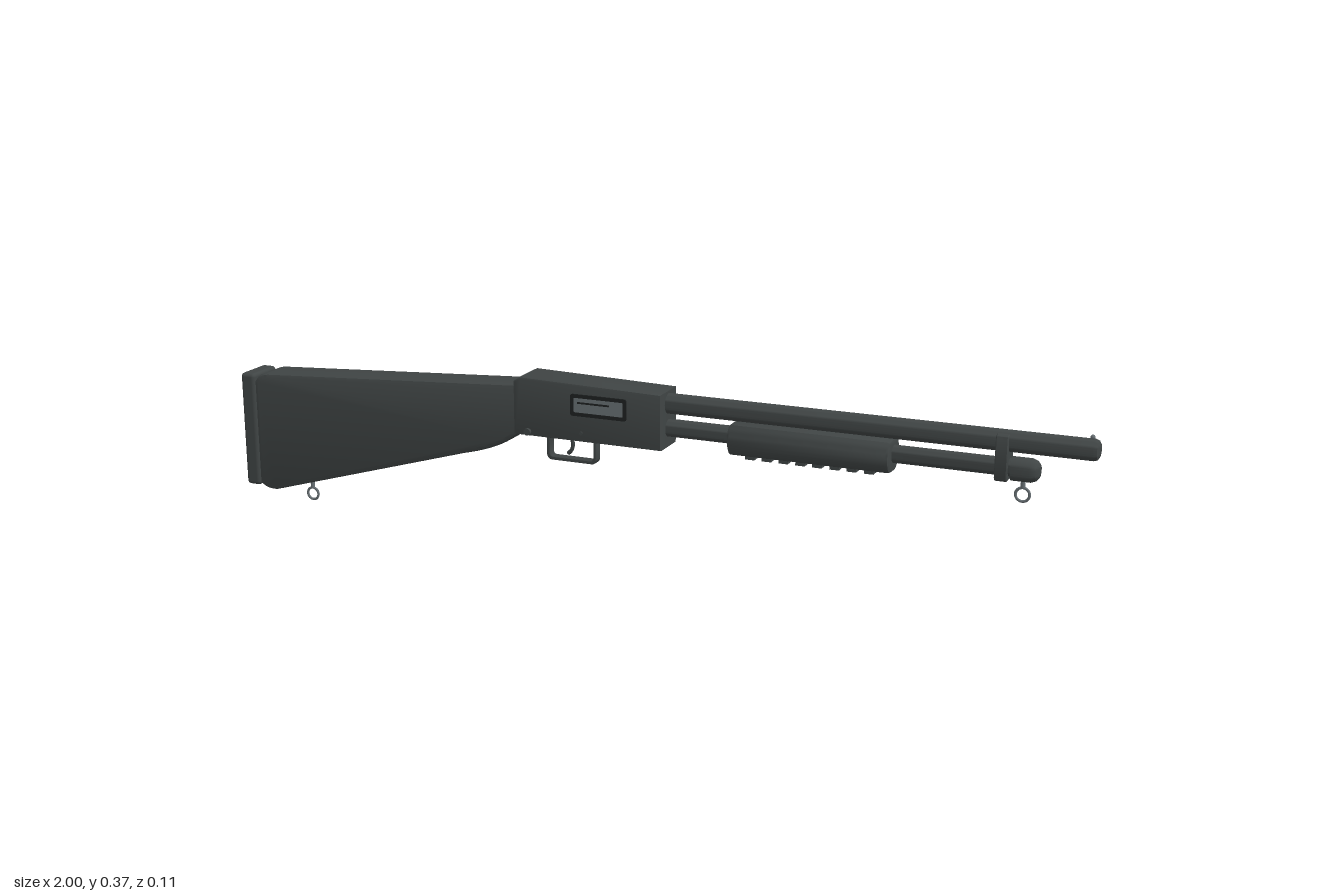
import * as THREE from 'three';
import { toCreasedNormals } from 'three/addons/utils/BufferGeometryUtils.js';
import { RoundedBoxGeometry } from 'three/addons/geometries/RoundedBoxGeometry.js';

const mat = (name, color) => {
  const m = new THREE.MeshStandardMaterial({ color });
  m.name = name;
  return m;
};

export function createModel() {
  const body = mat('charcoal', 0x404545);
  const steel = mat('steel', 0x697175);
  const dark = mat('shadow black', 0x1e2121);
  const group = new THREE.Group();

  const add = (name, geo, material, x = 0, y = 0, z = 0) => {
    const mesh = new THREE.Mesh(geo, material);
    mesh.name = name;
    mesh.position.set(x, y, z);
    group.add(mesh);
    return mesh;
  };

  // Extrudes a shape to a total width, centred, with inset bevels
  const slab = (shape, width, bevel = 0, segments = 2) => {
    const geo = new THREE.ExtrudeGeometry(shape, {
      depth: width - 2 * bevel, bevelEnabled: bevel > 0, bevelSize: bevel,
      bevelThickness: bevel, bevelOffset: -bevel, bevelSegments: segments, curveSegments: 12,
    });
    geo.translate(0, 0, -(width - 2 * bevel) / 2);
    return toCreasedNormals(geo, 0.6);
  };

  // Revolves [x, radius] points around the x axis
  const turned = (points) => {
    const geo = new THREE.LatheGeometry(points.map(([x, r]) => new THREE.Vector2(r, x)), 32);
    geo.rotateZ(-Math.PI / 2);
    return toCreasedNormals(geo, 0.6);
  };

  const polygon = (pts) => new THREE.Shape(pts.map(([x, y]) => new THREE.Vector2(x, y)));

  const roundRect = (x0, y0, x1, y1, r, Type = THREE.Shape) => {
    const s = new Type();
    s.moveTo(x0 + r, y0);
    s.lineTo(x1 - r, y0);
    s.quadraticCurveTo(x1, y0, x1, y0 + r);
    s.lineTo(x1, y1 - r);
    s.quadraticCurveTo(x1, y1, x1 - r, y1);
    s.lineTo(x0 + r, y1);
    s.quadraticCurveTo(x0, y1, x0, y1 - r);
    s.lineTo(x0, y0 + r);
    s.quadraticCurveTo(x0, y0, x0 + r, y0);
    return s;
  };

  // Shoulder stock with a curved grip underneath
  const stock = new THREE.Shape();
  stock.moveTo(-0.967, 0.045);
  stock.quadraticCurveTo(-0.95, 0.023, -0.92, 0.029);
  stock.lineTo(-0.41, 0.178);
  stock.quadraticCurveTo(-0.315, 0.2, -0.27, 0.24);
  stock.lineTo(-0.27, 0.353);
  stock.lineTo(-0.925, 0.314);
  stock.quadraticCurveTo(-0.955, 0.312, -0.967, 0.29);
  stock.closePath();
  add('stock', slab(stock, 0.088, 0.01), body);
  add('buttPad', new RoundedBoxGeometry(0.038, 0.274, 0.096, 3, 0.009), body, -0.981, 0.173);

  // Receiver block
  const receiver = polygon([
    [-0.279, 0.24], [0.075, 0.24], [0.075, 0.365], [-0.262, 0.373], [-0.279, 0.362],
  ]);
  add('receiver', slab(receiver, 0.093, 0.005), body);

  // Ejection port on the front side, with the bolt showing
  const frame = roundRect(-0.138, 0.299, -0.004, 0.348, 0.007);
  frame.holes.push(roundRect(-0.13, 0.307, -0.012, 0.34, 0.004, THREE.Path));
  add('ejectionPortFrame', slab(frame, 0.005), dark, 0, 0, 0.0475);
  add('bolt', new THREE.BoxGeometry(0.12, 0.035, 0.003), steel, -0.071, 0.3235, 0.0468);
  add('boltSlot', new THREE.BoxGeometry(0.075, 0.004, 0.002), dark, -0.083, 0.329, 0.0485);

  // Cross pins through the receiver
  const pin = (name, x, y, r, length) => {
    const geo = new THREE.CylinderGeometry(r, r, length, 16);
    geo.rotateX(Math.PI / 2);
    add(name, geo, body, x, y);
  };
  pin('safetyButton', -0.243, 0.25, 0.008, 0.106);
  pin('receiverPin', -0.113, 0.26, 0.004, 0.097);

  // Trigger and guard
  const guard = roundRect(-0.215, 0.18, -0.093, 0.246, 0.014);
  guard.holes.push(roundRect(-0.207, 0.188, -0.101, 0.241, 0.009, THREE.Path));
  add('triggerGuard', slab(guard, 0.022, 0.0015, 1), body);
  const trigger = new THREE.CatmullRomCurve3([
    new THREE.Vector3(-0.164, 0.245, 0), new THREE.Vector3(-0.155, 0.22, 0),
    new THREE.Vector3(-0.159, 0.204, 0), new THREE.Vector3(-0.167, 0.196, 0),
  ]);
  add('trigger', new THREE.TubeGeometry(trigger, 12, 0.0045, 8), body);

  // Barrel, bead and magazine tube
  add('barrel', turned([
    [0.06, 0], [0.06, 0.0225], [0.988, 0.0225], [0.995, 0.02], [0.999, 0.013], [1, 0],
  ]), body, 0, 0.337);
  add('frontSight', new THREE.SphereGeometry(0.005, 12, 8), steel, 0.982, 0.363);
  add('magazineTube', turned([[0.06, 0], [0.06, 0.019], [0.83, 0.019], [0.83, 0]]), body, 0, 0.282);
  add('magazineCap', turned([
    [0.826, 0], [0.826, 0.025], [0.866, 0.025], [0.877, 0.021], [0.883, 0.013], [0.885, 0],
  ]), body, 0, 0.28);
  const band = slab(roundRect(-0.027, 0.255, 0.027, 0.354, 0.012), 0.026, 0.002, 1);
  band.rotateY(Math.PI / 2);
  add('barrelBand', band, body, 0.808);

  // Action bar between receiver and pump grip
  add('actionBar', new THREE.BoxGeometry(0.19, 0.016, 0.006), body, 0.15, 0.283, -0.037);

  // Pump grip: round section flattened on top, ribbed underneath
  const section = new THREE.Shape();
  section.absarc(0, 0.281, 0.045, Math.PI - 0.8, 2 * Math.PI + 0.8, false);
  section.closePath();
  const grip = slab(section, 0.355, 0.007);
  grip.rotateY(Math.PI / 2);
  grip.translate(0.402, 0, 0);
  // Lift the underside slightly so the ribs stand out
  const pos = grip.attributes.position;
  for (let i = 0; i < pos.count; i++) pos.setY(i, Math.max(pos.getY(i), 0.246));
  add('pumpGrip', toCreasedNormals(grip, 0.6), body);
  for (let i = 0; i < 8; i++) {
    add('gripRib', new THREE.BoxGeometry(0.021, 0.012, 0.044), body, 0.271 + i * 0.0375, 0.244);
  }

  // Sling swivels: a short stud with a ring
  const swivel = (name, x, y, studHeight) => {
    add(name + 'Stud', new THREE.CylinderGeometry(0.005, 0.005, studHeight, 12), steel,
      x, y + 0.015 + studHeight / 2);
    add(name + 'Ring', new THREE.TorusGeometry(0.0145, 0.003, 8, 28), steel, x, y);
  };
  swivel('frontSwivel', 0.85, 0.227, 0.018);
  swivel('rearSwivel', -0.845, 0.0175, 0.024);

  return group;
}
